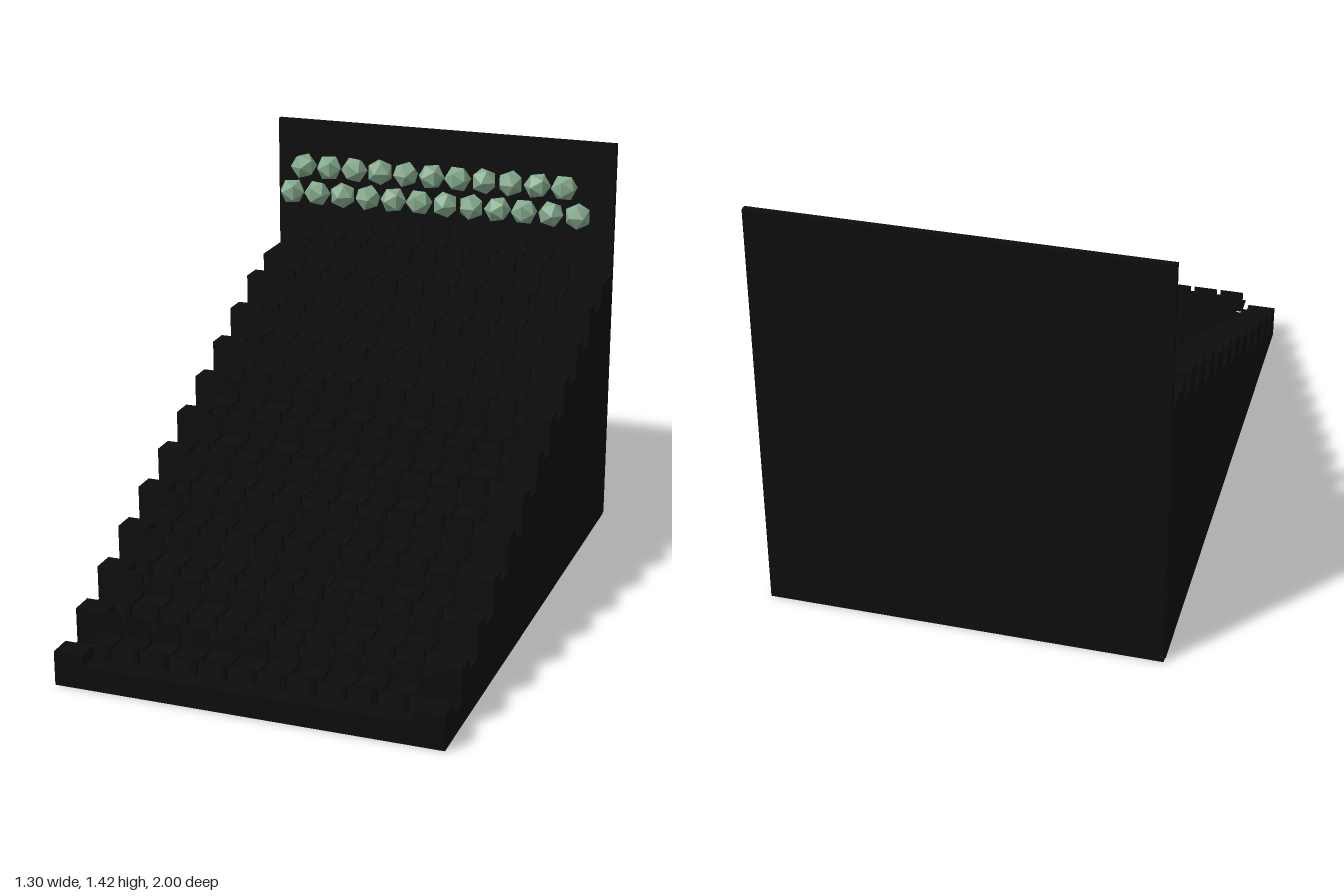
import * as THREE from 'three';

const ROWS = 12, PITCH = 0.1648, RISE = 0.0783, HALF_W = 0.651, BACK_Z = -0.978;

export function createModel() {
  const model = new THREE.Group();
  const black = new THREE.MeshStandardMaterial({ color: 0x0d0d0d });
  black.name = 'black';
  const green = new THREE.MeshStandardMaterial({ color: 0x84a98c, flatShading: true });
  green.name = 'sage green';

  const addBox = (parent, name, w, h, d, x, y, z) => {
    const mesh = new THREE.Mesh(new THREE.BoxGeometry(w, h, d), black);
    mesh.name = name;
    mesh.position.set(x, y, z);
    parent.add(mesh);
  };

  // Solid stepped base: side profile (shape x = -z) extruded across the width
  const profile = new THREE.Shape();
  profile.moveTo(-1, 0);
  for (let i = 0; i < ROWS; i++) {
    const end = i === ROWS - 1 ? -BACK_Z : -1 + (i + 1) * PITCH;
    profile.lineTo(-1 + i * PITCH, (i + 1) * RISE);
    profile.lineTo(end, (i + 1) * RISE);
  }
  profile.lineTo(-BACK_Z, 0);
  const baseGeometry = new THREE.ExtrudeGeometry(profile, { depth: HALF_W * 2, bevelEnabled: false });
  baseGeometry.translate(0, 0, -HALF_W);
  baseGeometry.rotateY(Math.PI / 2);
  const base = new THREE.Mesh(baseGeometry, black);
  base.name = 'steppedBase';
  model.add(base);

  // Tall wall behind the top row
  addBox(model, 'backWall', 1.297, 1.425, 0.022, 0, 0.7125, -0.989);

  for (let i = 0; i < ROWS; i++) {
    const front = 1 - i * PITCH, floor = (i + 1) * RISE;

    // Aisle half steps at both ends, none on the top row
    if (i < ROWS - 1) {
      for (const side of [-1, 1]) {
        addBox(model, 'aisleStep', 0.1, 0.039, 0.082, side * (HALF_W - 0.05), floor + 0.0195, front - 0.041);
      }
    }

    // Row of seats: post, thin pan and thin back
    const row = new THREE.Group();
    row.name = 'seatRow';
    row.position.set(0, floor, front);
    for (let s = -5; s <= 5; s++) {
      const x = s * 0.1;
      addBox(row, 'seatPost', 0.02, 0.07, 0.018, x, 0.035, -0.074);
      addBox(row, 'seatPan', 0.085, 0.008, 0.074, x, 0.074, -0.07);
      addBox(row, 'seatBack', 0.085, 0.08, 0.006, x, 0.11, -0.105);
    }
    model.add(row);
  }

  // Two staggered rows of faceted balls, each turned differently
  const ball = new THREE.IcosahedronGeometry(0.05, 0);
  const addBalls = (count, startX, y, turn) => {
    for (let i = 0; i < count; i++) {
      const mesh = new THREE.Mesh(ball, green);
      mesh.name = 'facetedBall';
      mesh.position.set(startX + i * 0.1003, y, -0.922);
      mesh.rotation.y = turn + i * 2.4;
      model.add(mesh);
    }
  };
  addBalls(12, -0.575, 1.163, 0.4);
  addBalls(11, -0.528, 1.264, 1.1);

  return model;
}
